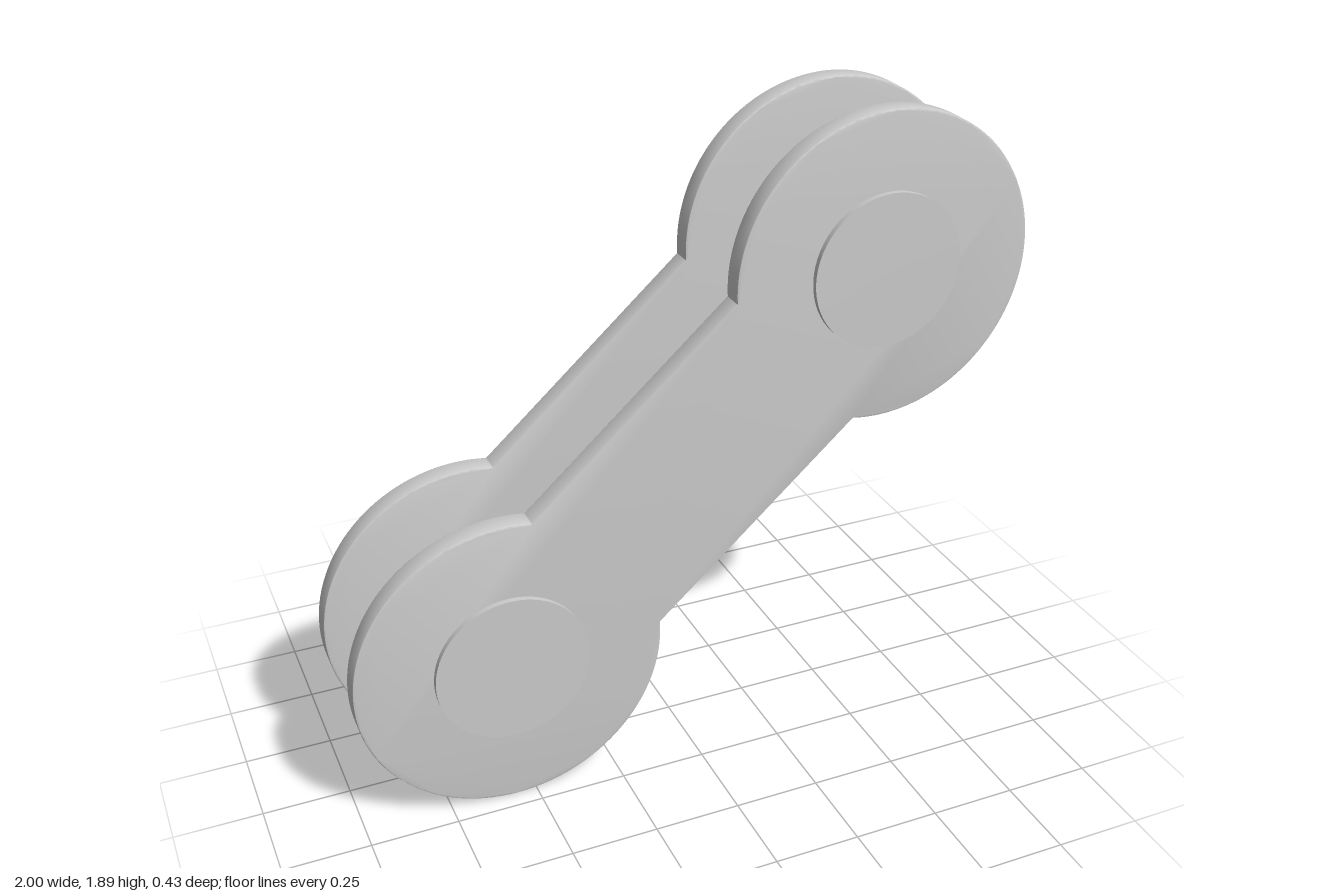
import * as THREE from 'three';
import { toCreasedNormals } from 'three/addons/utils/BufferGeometryUtils.js';

const CX = 0.555, CY = 0.498, MID_Y = 0.945; // pin centres at +-(CX, CY) around mid height
const R = 0.445, PIN_R = 0.222, PIN_LENGTH = 0.434;
const PLATE_Z = 0.168, PLATE_T = 0.065, BEVEL = 0.005;

// Two round ends joined by a narrower straight web
function plateGeometry() {
  const tilt = Math.atan2(CY, CX);
  const neck = Math.asin(0.276 / R);
  const shape = new THREE.Shape();
  shape.absarc(CX, CY, R, tilt - Math.PI + neck, tilt + Math.PI - neck, false);
  shape.absarc(-CX, -CY, R, tilt + neck, tilt + 2 * Math.PI - neck, false);
  const geometry = new THREE.ExtrudeGeometry(shape, {
    depth: PLATE_T - 2 * BEVEL,
    curveSegments: 72,
    bevelSize: BEVEL,
    bevelThickness: BEVEL,
    bevelOffset: -BEVEL,
    bevelSegments: 2,
  });
  geometry.translate(0, 0, -PLATE_T / 2 + BEVEL);
  return toCreasedNormals(geometry, 0.6);
}

export function createModel() {
  const group = new THREE.Group();
  group.name = 'chainLink';
  const material = new THREE.MeshStandardMaterial({ color: 0xcccccc });
  const add = (name, geometry, x, y, z) => {
    const mesh = new THREE.Mesh(geometry, material);
    mesh.name = name;
    mesh.position.set(x, y, z);
    group.add(mesh);
  };

  // Side plates
  const plate = plateGeometry();
  add('frontPlate', plate, 0, MID_Y, PLATE_Z);
  add('backPlate', plate, 0, MID_Y, -PLATE_Z);

  // Pins through both plates, standing slightly proud of them
  const pin = new THREE.CylinderGeometry(PIN_R, PIN_R, PIN_LENGTH, 64).rotateX(Math.PI / 2);
  add('upperPin', pin, CX, MID_Y + CY, 0);
  add('lowerPin', pin, -CX, MID_Y - CY, 0);
  return group;
}
